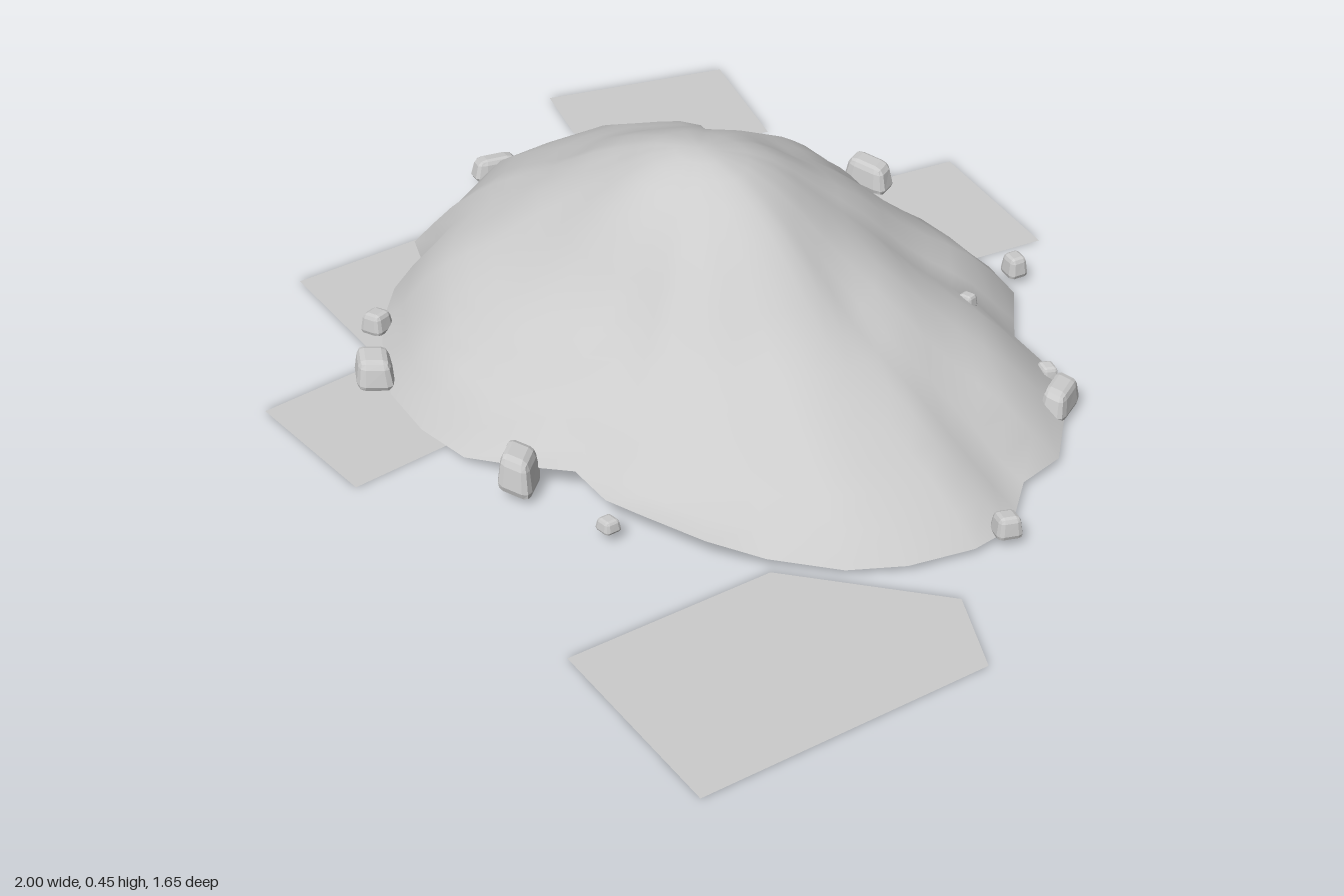
import * as THREE from 'three';
import { RoundedBoxGeometry } from 'three/addons/geometries/RoundedBoxGeometry.js';

const mat = new THREE.MeshStandardMaterial({ color: 0xcccccc });
const flatMat = new THREE.MeshStandardMaterial({ color: 0xcccccc, side: THREE.DoubleSide });

// Ground outline of the mound as x, z pairs, from +x round through +z
const RIM = [
  .78, 0, .78, .08, .74, .2, .68, .29, .58, .38, .5, .45, .37, .49, .3, .51, .2, .5, .13, .56,
  0, .6, -.12, .61, -.25, .59, -.35, .54, -.46, .47, -.55, .38, -.6, .28, -.67, .25, -.7, .18, -.75, .05,
  -.75, -.05, -.71, -.18, -.65, -.33, -.61, -.39, -.54, -.41, -.48, -.38, -.42, -.44, -.36, -.54, -.25, -.6, -.12, -.56,
  -.05, -.54, .05, -.58, .15, -.58, .25, -.55, .32, -.48, .36, -.44, .5, -.41, .6, -.33, .69, -.22, .7, -.12, .75, -.05,
];

// Slope heights from summit to rim towards +x, +z, -x and -z
const SLOPES = [
  [.453, .44, .395, .32, .24, .175, .125, .08, .013],
  [.453, .435, .4, .335, .245, .18, .14, .1, .013],
  [.453, .44, .4, .355, .3, .25, .205, .13, .013],
  [.453, .435, .405, .355, .305, .24, .165, .1, .013],
];
const SUMMIT = [0, .05];

function slopeHeight(angle, s) {
  const c = Math.cos(angle), d = Math.sin(angle);
  const weights = [c > 0 ? c * c : 0, d > 0 ? d * d : 0, c < 0 ? c * c : 0, d < 0 ? d * d : 0];
  const f = Math.min(s * 8, 7.9999), k = Math.floor(f);
  return SLOPES.reduce((sum, p, i) => sum + weights[i] * THREE.MathUtils.lerp(p[k], p[k + 1], f - k), 0);
}

// Soft lumps in the earth
function lumps(x, z) {
  return .011 * Math.sin(11 * x + 4 * z + 1) * Math.cos(10 * z - 3 * x)
    + .007 * Math.sin(21 * x - 9 * z) * Math.sin(19 * z + 6 * x + 2);
}

function rimPoint(i) {
  const n = RIM.length / 2, k = (i + n) % n;
  return [RIM[2 * k], RIM[2 * k + 1]];
}

// The front edge is lifted a little off the ground
function rimHeight(x, z) {
  if (z < .3) return .013;
  return .013 + .035 * THREE.MathUtils.smoothstep(x, 0, .14) * (1 - THREE.MathUtils.smoothstep(x, .5, .62));
}

function meshFrom(positions, index, name, material) {
  const g = new THREE.BufferGeometry();
  g.setAttribute('position', new THREE.Float32BufferAttribute(positions, 3));
  g.setIndex(index);
  g.computeVertexNormals();
  const mesh = new THREE.Mesh(g, material);
  mesh.name = name;
  return mesh;
}

function createMound() {
  const group = new THREE.Group();
  group.name = 'mound';
  const n = RIM.length / 2, rings = 14;
  const pos = [SUMMIT[0], .453, SUMMIT[1]], index = [];
  for (let r = 1; r <= rings; r++) {
    const s = r / rings;
    for (let i = 0; i < n; i++) {
      // inner rings lose the jagged rim detail
      const p = rimPoint(i), a = rimPoint(i - 2), b = rimPoint(i + 2);
      const soft = .5 * (1 - s);
      const rx = p[0] * (1 - soft) + (a[0] + b[0]) * soft / 2;
      const rz = p[1] * (1 - soft) + (a[1] + b[1]) * soft / 2;
      const angle = Math.atan2(rz - SUMMIT[1], rx - SUMMIT[0]);
      const x = SUMMIT[0] + (rx - SUMMIT[0]) * s, z = SUMMIT[1] + (rz - SUMMIT[1]) * s;
      const y = r === rings ? rimHeight(x, z)
        : Math.max(slopeHeight(angle, s) + lumps(x, z) * Math.min(1, 2 * s), rimHeight(x, z) + .01);
      pos.push(x, y, z);
    }
  }
  for (let i = 0; i < n; i++) {
    const j = (i + 1) % n;
    index.push(0, 1 + j, 1 + i);
    for (let r = 0; r < rings - 1; r++) {
      const a = 1 + r * n + i, b = 1 + r * n + j, c = a + n, d = b + n;
      index.push(a, b, d, a, d, c);
    }
  }
  group.add(meshFrom(pos, index, 'earthSurface', mat));

  // Underside fan
  const under = [0, .013, 0], fan = [];
  for (let i = 0; i < n; i++) {
    const [x, z] = rimPoint(i);
    under.push(x, rimHeight(x, z), z);
    fan.push(0, 1 + i, 1 + (i + 1) % n);
  }
  group.add(meshFrom(under, fan, 'underside', mat));
  return group;
}

// Flat ground patches as x, z corners
const PATCHES = [
  [[-.86, -.72], [-.57, -.615], [-.67, -.33], [-.84, -.285], [-1, -.34]],
  [[-.22, -.83], [.13, -.745], [.07, -.48], [-.3, -.49]],
  [[.85, .18], [1, .265], [.935, .82], [.545, .78], [.59, .38]],
  [[-.69, .2], [-.71, .5], [-.35, .535], [-.38, .25]],
  [[-.37, .5], [-.37, .79], [-.065, .79], [-.065, .48]],
];

function createPatch(corners) {
  const shape = new THREE.Shape(corners.map(([x, z]) => new THREE.Vector2(x, -z)));
  const mesh = new THREE.Mesh(new THREE.ShapeGeometry(shape).rotateX(-Math.PI / 2), flatMat);
  mesh.name = 'groundPatch';
  return mesh;
}

// Pebbles: x, y, z, width, height, depth, turn
const PEBBLES = [
  [-.775, .04, -.03, .06, .05, .105, -.3],
  [-.25, .04, -.62, .115, .06, .065, .15],
  [-.365, .03, -.56, .035, .03, .03, .2],
  [.2, .035, -.6, .055, .045, .045, -.3],
  [.325, .12, -.34, .038, .03, .03, .1],
  [.5, .03, -.385, .038, .03, .035, -.3],
  [.58, .04, -.335, .055, .055, .1, .3],
  [.785, .035, .01, .052, .045, .05, -.4],
  [.34, .032, .535, .04, .025, .035, 0],
  [.135, .055, .575, .07, .075, .085, .5],
  [-.31, .04, .585, .09, .06, .075, -.5],
  [-.445, .035, .49, .058, .045, .05, .2],
];

function createPebble([x, y, z, w, h, d, turn], i) {
  const g = new RoundedBoxGeometry(1, 1, 1, 1, .22);
  const p = g.attributes.position;
  // narrow the top and skew each stone differently
  for (let k = 0; k < p.count; k++) {
    const t = 1 - .25 * (p.getY(k) + .5);
    p.setX(k, p.getX(k) * t + .15 * Math.sin(i * 2.3) * p.getZ(k));
    p.setZ(k, p.getZ(k) * t);
    p.setY(k, p.getY(k) + .2 * Math.cos(i * 1.7) * p.getX(k));
  }
  g.scale(w, h, d);
  g.computeVertexNormals();
  const mesh = new THREE.Mesh(g, mat);
  mesh.name = 'pebble';
  mesh.position.set(x, y, z);
  mesh.rotation.y = turn;
  return mesh;
}

export function createModel() {
  const model = new THREE.Group();
  model.name = 'earthMound';
  model.add(createMound());
  PATCHES.forEach((c) => model.add(createPatch(c)));
  PEBBLES.forEach((p, i) => model.add(createPebble(p, i)));
  return model;
}
